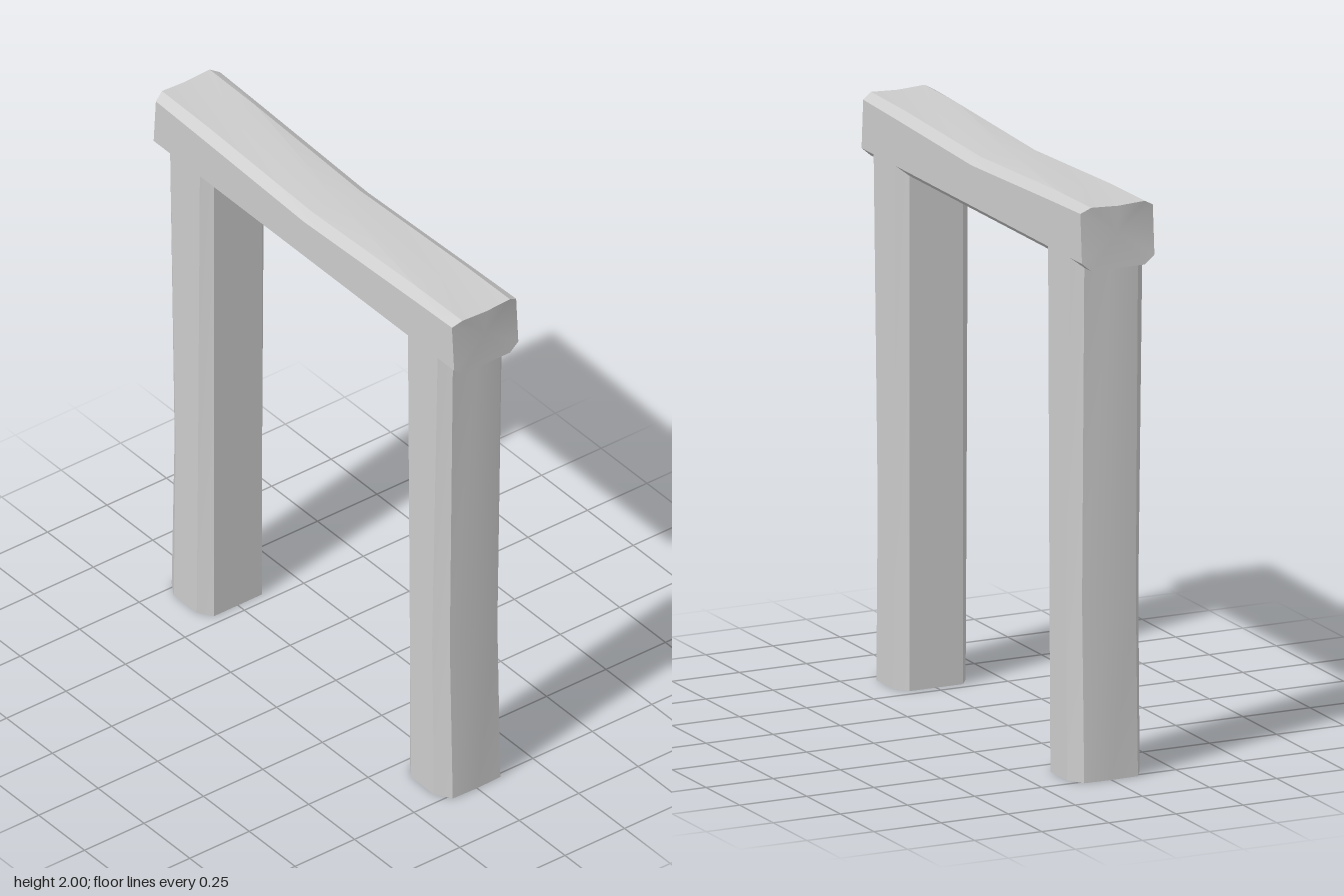
import * as THREE from 'three';
import { toCreasedNormals } from 'three/addons/utils/BufferGeometryUtils.js';

const material = new THREE.MeshStandardMaterial({ color: 0xcccccc });

// Skin a list of rings (counter-clockwise about the loft direction) and cap both ends.
function loft(rings) {
  const pos = [];
  const tri = (...pts) => pts.forEach((p) => pos.push(...p));
  const n = rings[0].length;
  const centre = (ring) => [0, 1, 2].map((k) => ring.reduce((s, p) => s + p[k], 0) / n);
  const first = rings[0], last = rings[rings.length - 1];
  const c0 = centre(first), c1 = centre(last);
  for (let j = 0; j < n; j++) {
    const k = (j + 1) % n;
    for (let i = 0; i < rings.length - 1; i++) {
      const a = rings[i], b = rings[i + 1];
      tri(a[j], a[k], b[k]);
      tri(a[j], b[k], b[j]);
    }
    tri(first[k], first[j], c0);
    tri(last[j], last[k], c1);
  }
  const geometry = new THREE.BufferGeometry();
  geometry.setAttribute('position', new THREE.Float32BufferAttribute(pos, 3));
  return toCreasedNormals(geometry, 0.45);
}

// Beam section at z: worn top with given heights at middle, inner edge and outer edge.
function beamRing(z, mid, inner, outer, zOuter = z) {
  return [
    [-0.1, 1.78, z], [0.1, 1.78, z],
    [0.135, 1.81, z], [0.135, outer, zOuter],
    [0.1, inner, z], [0, mid, z], [-0.1, inner, z],
    [-0.135, outer, zOuter], [-0.135, 1.81, z],
  ];
}

// Leg section at y: inner chamfer depth, outer chamfer start, outer edge and outer ridge.
function legRing(y, zIn, zSide, zEdge, zRidge) {
  return [
    [0, y, zRidge], [0.1, y, zEdge], [0.135, y, zSide], [0.135, y, zIn], [0.1, y, 0.535],
    [-0.1, y, 0.535], [-0.135, y, zIn], [-0.135, y, zSide], [-0.1, y, zEdge],
  ];
}

export function createModel() {
  const group = new THREE.Group();

  // Crossbeam, sagging toward the middle of its top
  const beam = new THREE.Mesh(loft([
    beamRing(-0.82, 1.995, 2.0, 1.98, -0.808),
    beamRing(-0.57, 1.995, 1.997, 1.972),
    beamRing(0, 1.985, 1.975, 1.95),
    beamRing(0.57, 1.995, 1.997, 1.972),
    beamRing(0.82, 1.995, 2.0, 1.98, 0.808),
  ]), material);
  beam.name = 'crossbeam';
  group.add(beam);

  // Two posts, slightly waisted on the outer face, running up into the beam
  const postGeometry = loft([
    legRing(0, 0.585, 0.71, 0.767, 0.77),
    legRing(0.62, 0.578, 0.70, 0.751, 0.765),
    legRing(1.81, 0.568, 0.73, 0.768, 0.77),
  ]);
  ['frontPost', 'backPost'].forEach((name, i) => {
    const post = new THREE.Mesh(postGeometry, material);
    post.name = name;
    post.rotation.y = i * Math.PI;
    group.add(post);
  });

  return group;
}
